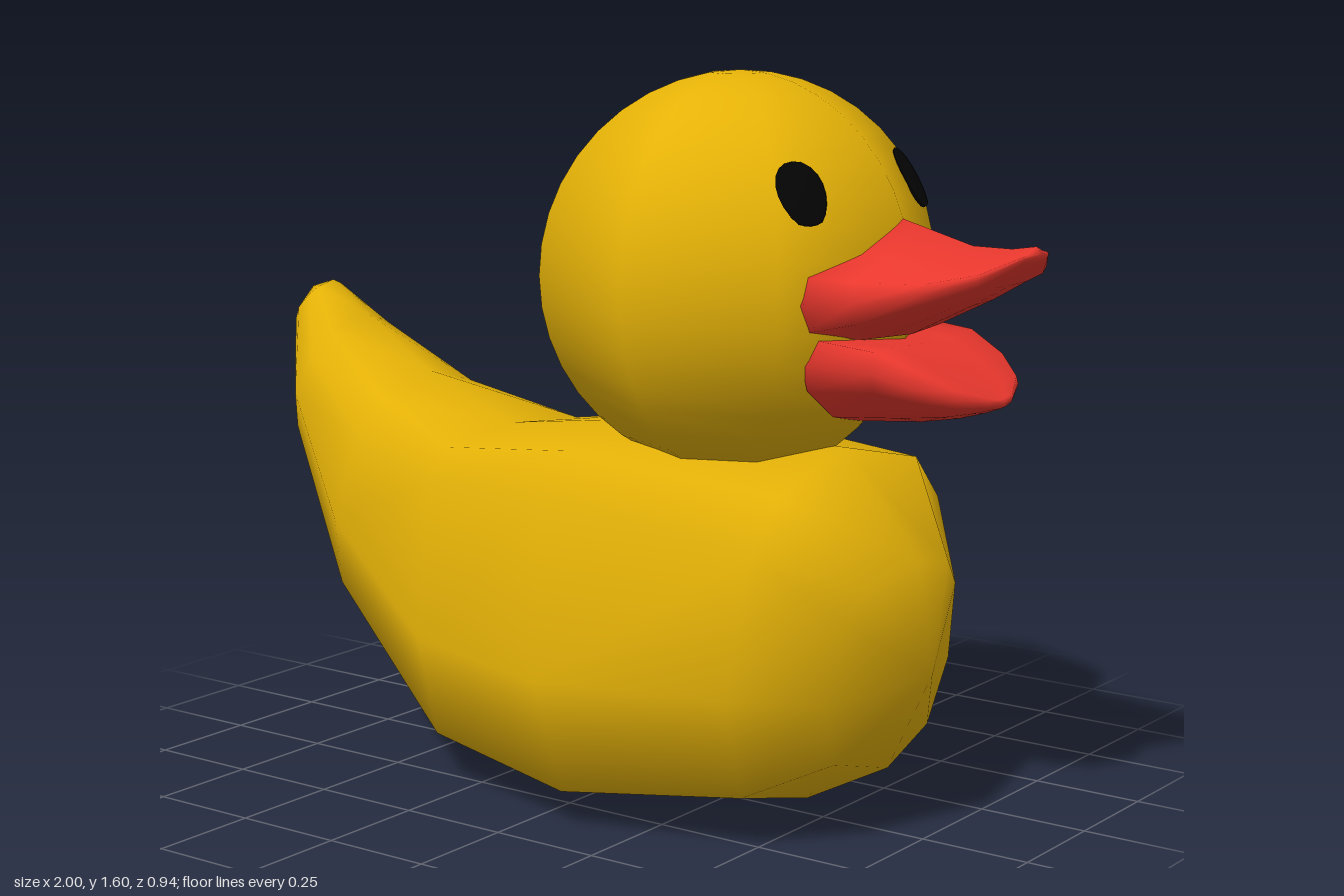
import * as THREE from 'three';

const YELLOW = 0xe5b207, RED = 0xe8372d, BLACK = 0x040404;
const lerp = THREE.MathUtils.lerp;

function part(name, geometry, color) {
  const mesh = new THREE.Mesh(geometry, new THREE.MeshStandardMaterial({ color, side: THREE.DoubleSide }));
  mesh.name = name;
  return mesh;
}

// Mirror a half section (top to bottom on +z) into a closed ring.
function fullRing(half) {
  const other = half.slice(1, -1).reverse().map(([x, y, z]) => [x, y, -z]);
  return [...half, ...other];
}

// Skin a row of rings running along +x and close both ends.
function loft(rings, startTip, endTip) {
  const n = rings[0].length, last = (rings.length - 1) * n;
  const positions = [...rings.flat(), startTip, endTip].flat();
  const start = rings.length * n, end = start + 1, index = [];
  for (let j = 0; j < n; j++) {
    const k = (j + 1) % n;
    for (let i = 0; i < last; i += n) {
      index.push(i + j, i + k, i + n + j, i + k, i + n + k, i + n + j);
    }
    index.push(start, k, j, end, last + j, last + k);
  }
  const g = new THREE.BufferGeometry();
  g.setAttribute('position', new THREE.Float32BufferAttribute(positions, 3));
  g.setIndex(index);
  g.computeVertexNormals();
  return g;
}

function bodyGeometry() {
  // Top x, y; bottom x, y; half width; boxiness; forward bow of the sides
  const stations = [
    [-0.90, 1.06, -1.00, 0.95, 0.06, 0, 0],
    [-0.80, 0.99, -0.95, 0.68, 0.155, 0, 0],
    [-0.60, 0.87, -0.74, 0.32, 0.25, 0.4, 0],
    [-0.35, 0.775, -0.33, 0.04, 0.36, 1, 0],
    [0.03, 0.825, 0.10, 0, 0.47, 1, 0],
    [0.54, 0.82, 0.46, 0.035, 0.42, 0.45, 0.035],
    [0.73, 0.60, 0.66, 0.14, 0.25, 0.5, -0.03],
  ];
  const boxy = [[0, 1], [0.64, 0.97], [0.85, 0.88], [1, 0.41], [0.85, 0.1], [0, 0]];
  const angles = [0, 40, 65, 100, 140, 180].map(THREE.MathUtils.degToRad);
  const rings = stations.map(([tx, ty, bx, by, w, box, bow]) => fullRing(boxy.map(([u, v], i) => {
    const a = angles[i];
    const h = lerp((1 + Math.cos(a)) / 2, v, box);
    const s = lerp(Math.sin(a), u, box);
    return [lerp(bx, tx, h) + bow * s, lerp(by, ty, h), w * s];
  })));
  return loft(rings, [-0.965, 1.04, 0], [0.765, 0.36, 0]);
}

// Beak stations: x, half width, top, upper side, lower side, bottom
function beakGeometry(stations, tip, ridge, keel) {
  const rings = stations.map(([x, w, top, high, low, bottom]) => fullRing([
    [x, top, 0],
    [x, lerp(high, top, ridge), w * 0.45],
    [x, high, w * 0.93],
    [x, (high + low) / 2, w],
    [x, low, w * 0.9],
    [x, lerp(low, bottom, keel), w * 0.45],
    [x, bottom, 0],
  ]));
  const x0 = stations[0][0];
  return loft(rings, [x0, (stations[0][2] + stations[0][5]) / 2, 0], tip);
}

export function createModel() {
  const duck = new THREE.Group();
  duck.name = 'duck';
  duck.add(part('body', bodyGeometry(), YELLOW));

  // Eight-sided ball head
  const head = part('head', new THREE.SphereGeometry(0.43, 8, 20), YELLOW);
  head.position.set(0.27, 1.17, 0);
  duck.add(head);

  // Open beak, both halves set into the head
  duck.add(part('upperBeak', beakGeometry([
    [0.59, 0.255, 1.335, 1.21, 1.095, 1.055],
    [0.70, 0.24, 1.305, 1.205, 1.12, 1.075],
    [0.84, 0.205, 1.268, 1.21, 1.17, 1.145],
    [0.93, 0.145, 1.268, 1.23, 1.205, 1.195],
    [0.985, 0.05, 1.277, 1.262, 1.25, 1.245],
  ], [1.0, 1.262, 0], 0.35, 0.85), RED));
  duck.add(part('lowerBeak', beakGeometry([
    [0.575, 0.22, 1.075, 1.08, 0.97, 0.88],
    [0.73, 0.21, 1.06, 1.065, 0.98, 0.895],
    [0.82, 0.18, 1.015, 1.025, 0.965, 0.912],
    [0.88, 0.13, 0.98, 0.99, 0.955, 0.93],
    [0.912, 0.05, 0.96, 0.965, 0.95, 0.942],
  ], [0.923, 0.953, 0], 0.5, 0.75), RED));

  // Thin eyes lying on the facets beside the beak, narrower at the bottom
  for (const side of [1, -1]) {
    const g = new THREE.SphereGeometry(1, 14, 10);
    const p = g.attributes.position;
    for (let i = 0; i < p.count; i++) {
      const y = p.getY(i);
      p.setXYZ(i, p.getX(i) * 0.058 * (1 + 0.15 * y), Math.max(y, -0.88) * 0.075, p.getZ(i) * 0.013);
    }
    g.computeVertexNormals();
    const eye = part(side > 0 ? 'rightEye' : 'leftEye', g, BLACK);
    eye.position.set(0.566, 1.37, side * 0.21);
    const azimuth = side * Math.PI / 8;
    eye.lookAt(0.566 + Math.cos(azimuth), 1.37 + 0.56, side * 0.21 + Math.sin(azimuth));
    duck.add(eye);
  }
  return duck;
}
